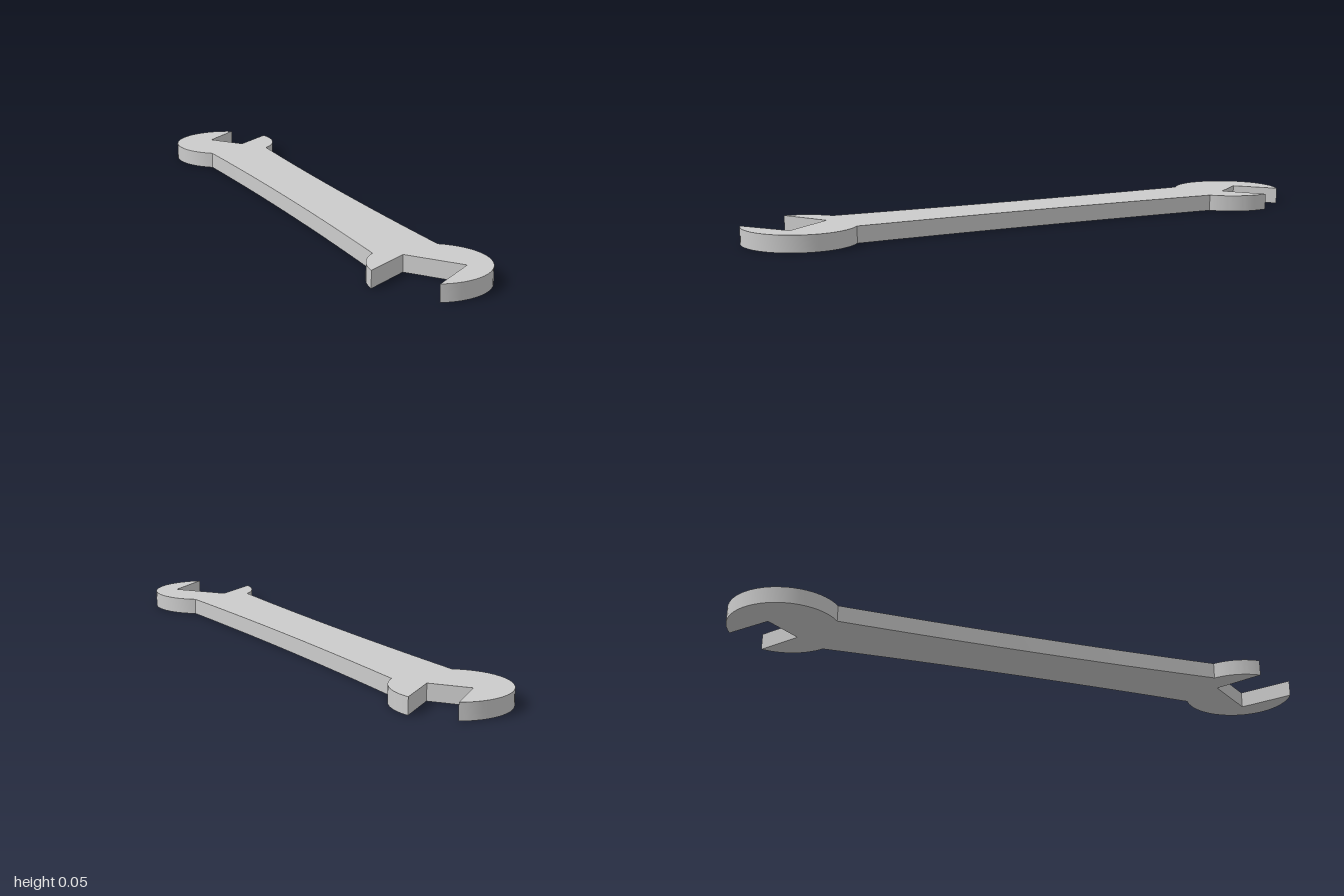
import * as THREE from 'three';
import { toCreasedNormals } from 'three/addons/utils/BufferGeometryUtils.js';

const THICKNESS = 0.055;
const HEAD_RADIUS = 0.185;
const HEAD_CENTRE = 0.815;
const NECK_X = 0.11;
const NECK_Y = HEAD_CENTRE - Math.sqrt(HEAD_RADIUS ** 2 - NECK_X ** 2);
const rad = THREE.MathUtils.degToRad;

// Round head, counterclockwise from neck to neck, cut by a straight-sided jaw
function addHead(shape, cy, start, lip1, jaw, lip2, end) {
  shape.absarc(0, cy, HEAD_RADIUS, rad(start), rad(lip1), false);
  jaw.forEach(([x, y]) => shape.lineTo(x, y));
  shape.absarc(0, cy, HEAD_RADIUS, rad(lip2), rad(end), false);
}

export function createModel() {
  const neck = THREE.MathUtils.radToDeg(Math.atan2(HEAD_CENTRE - NECK_Y, NECK_X));
  const waist = 0.086; // control point that narrows the handle in the middle

  // Plan outline, with shape y pointing to the back
  const outline = new THREE.Shape();
  outline.moveTo(NECK_X, NECK_Y);

  // Back head with the narrow jaw
  addHead(outline, HEAD_CENTRE, -neck, 13.4,
    [[0.05, 0.763], [-0.035, 0.874]], 60.6, 180 + neck);

  // Left-hand edge of the handle in plan
  outline.quadraticCurveTo(-waist, 0, -NECK_X, -NECK_Y);

  // Front head with the wide jaw
  addHead(outline, -HEAD_CENTRE, 180 - neck, 177,
    [[-0.034, -0.715], [0.088, -0.877]], 249.6, 360 + neck);

  // Other edge of the handle
  outline.quadraticCurveTo(waist, 0, NECK_X, -(-NECK_Y));

  // Flat plate, laid on the ground
  const plate = new THREE.ExtrudeGeometry(outline, {
    depth: THICKNESS, bevelEnabled: false, curveSegments: 12,
  });
  plate.rotateX(-Math.PI / 2);

  const wrench = new THREE.Mesh(
    toCreasedNormals(plate, rad(30)),
    new THREE.MeshStandardMaterial({ color: 0xcccccc }),
  );
  wrench.name = 'openEndWrench';

  const group = new THREE.Group();
  group.name = 'wrench';
  group.add(wrench);
  return group;
}
